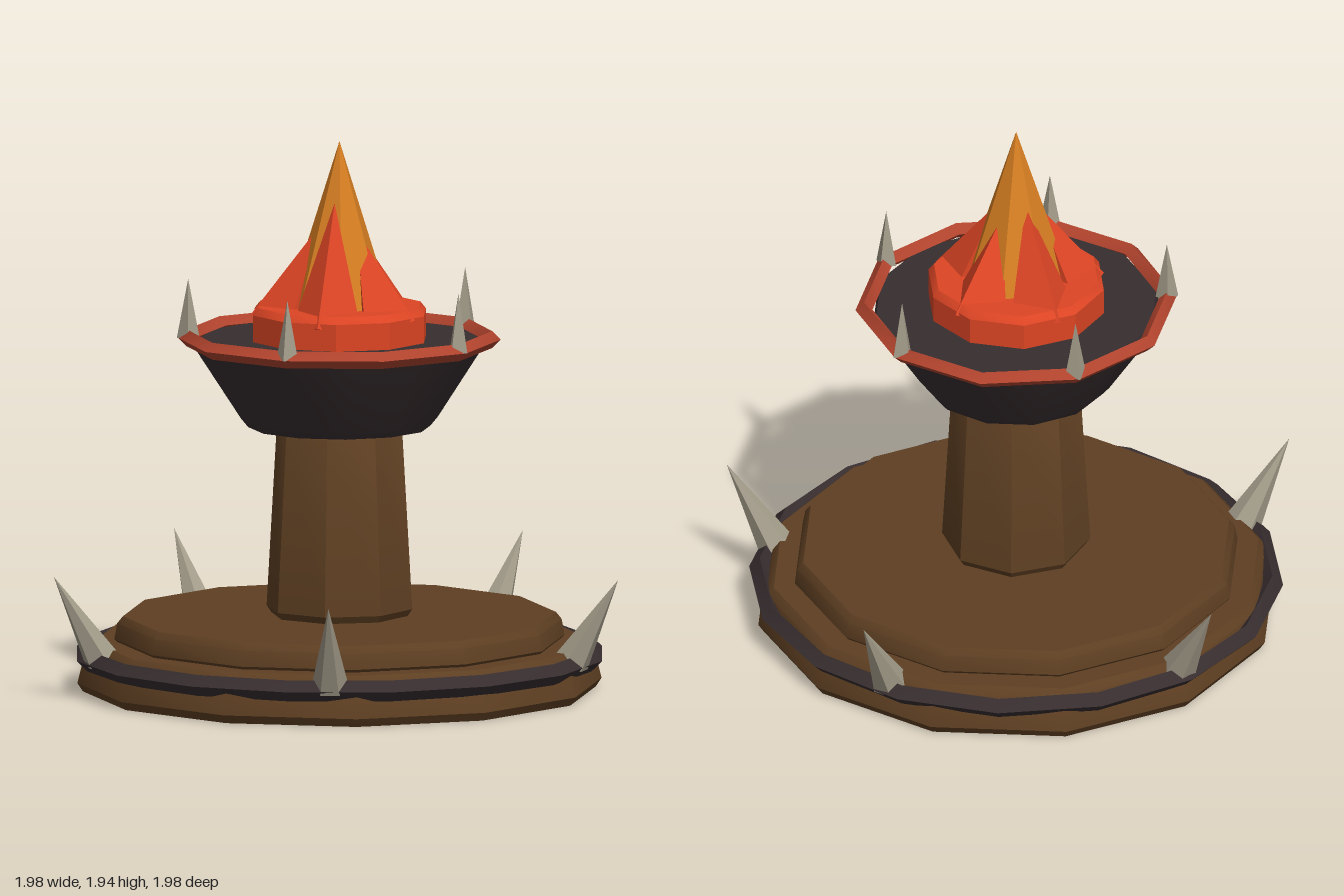
import * as THREE from 'three';
import { toCreasedNormals } from 'three/addons/utils/BufferGeometryUtils.js';

export function createModel() {
  const model = new THREE.Group();
  model.name = 'spikedBrazier';
  const body = new THREE.Group();
  body.name = 'brazier';
  body.position.z = 0.05;
  model.add(body);

  const mat = (name, color) => {
    const m = new THREE.MeshStandardMaterial({ color });
    m.name = name;
    return m;
  };
  const wood = mat('brown wood', 0x5e3f22);
  const iron = mat('dark iron', 0x372d2f);
  const rust = mat('red rim', 0xb0432d);
  const red = mat('red flame', 0xdd4524);
  const orange = mat('orange flame', 0xd87f22);
  const bone = mat('grey bone', 0xa29b89);

  const add = (name, geometry, material) => {
    const mesh = new THREE.Mesh(toCreasedNormals(geometry, 0.6), material);
    mesh.name = name;
    body.add(mesh);
    return mesh;
  };
  // Closed turned solid from [radius, height] pairs, bottom to top
  const turned = (name, profile, sides, material) => add(name,
    new THREE.LatheGeometry(profile.map(([r, y]) => new THREE.Vector2(r, y)), sides), material);
  // Diamond-section hoop lying flat
  const hoop = (name, radius, tube, sides, y, material) => add(name,
    new THREE.TorusGeometry(radius, tube, 4, sides).rotateX(-Math.PI / 2).translate(0, y, 0), material);
  // Cone from (r0, y0) to (r1, y1) in the radial plane, turned to an angle in degrees
  const spike = (name, [r0, y0], [r1, y1], radius, sides, degrees, material) => {
    const dr = r1 - r0, dy = y1 - y0, length = Math.hypot(dr, dy);
    const g = new THREE.ConeGeometry(radius, length, sides)
      .translate(0, length / 2, 0)
      .rotateZ(-Math.atan2(dr, dy))
      .translate(r0, y0, 0)
      .rotateY(THREE.MathUtils.degToRad(degrees));
    return add(name, g, material);
  };

  // Stepped base and pillar
  turned('baseDisc', [[0, 0], [0.9, 0], [0.92, 0.03], [0.89, 0.15], [0.865, 0.175], [0, 0.175]], 12, wood);
  turned('baseStep', [[0, 0.16], [0.77, 0.16], [0.79, 0.185], [0.78, 0.24], [0.76, 0.265], [0, 0.265]], 12, wood);
  hoop('baseHoop', 0.9, 0.037, 16, 0.125, iron);
  turned('pillar', [[0, 0.26], [0.24, 0.26], [0.26, 0.29], [0.225, 0.905], [0.205, 0.93], [0, 0.93]], 8, wood);

  // Bowl and its rim
  turned('bowl', [[0, 0.93], [0.32, 0.93], [0.345, 0.96], [0.51, 1.215], [0.5, 1.24], [0, 1.24]], 12, iron);
  hoop('bowlRim', 0.535, 0.03, 10, 1.24, rust);

  // Embers and central flame
  turned('embers', [[0, 1.23], [0.315, 1.23], [0.315, 1.335], [0.295, 1.36], [0, 1.36]], 10, red);
  spike('innerFlame', [0, 1.34], [0, 1.94], 0.19, 7, 20, orange);

  // Five-fold rings of spikes and flame tongues
  const flameTips = [1.63, 1.68, 1.64, 1.73, 1.63];
  for (let i = 0; i < 5; i++) {
    const a = i * 72;
    spike('baseSpike', [0.865, 0.14], [1.04, 0.44], 0.065, 6, a + 90, bone);
    spike('rimSpike', [0.53, 1.24], [0.53, 1.45], 0.04, 4, a, bone);
    spike('outerFlame', [0.19, 1.285], [0.07, flameTips[i]], 0.13, 4, a + 6, red);
  }
  return model;
}
